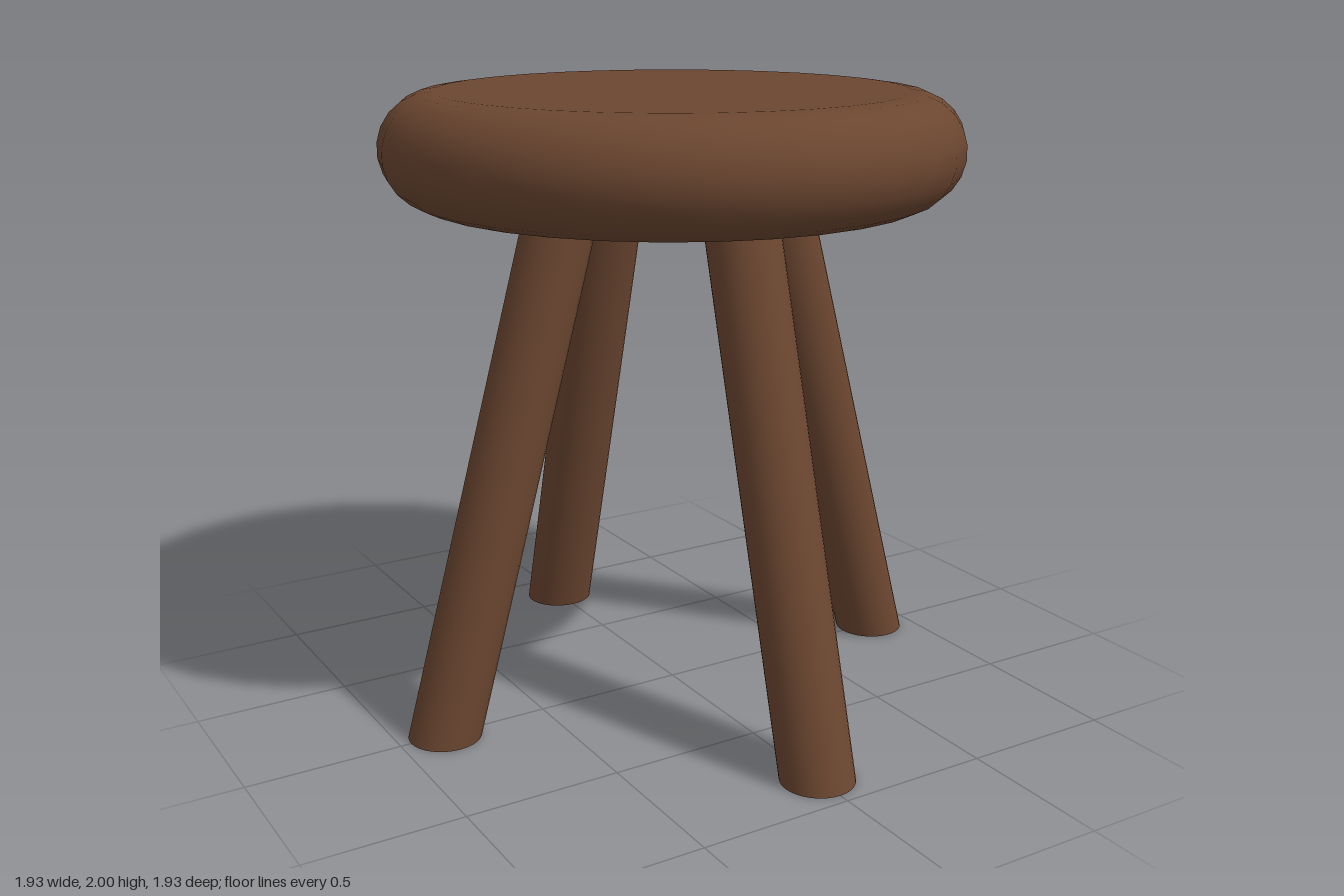
import * as THREE from 'three';

const wood = new THREE.MeshStandardMaterial({ color: 0x6b4630 });

// Round seat with a fully rounded rim
function createSeat() {
  const bottom = 1.65, top = 2, radius = 0.92;
  const rim = (top - bottom) / 2;
  const profile = [new THREE.Vector2(0, bottom)];
  const steps = 11;
  for (let i = 0; i <= steps; i++) {
    const a = -Math.PI / 2 + (Math.PI * i) / steps;
    profile.push(new THREE.Vector2(radius - rim + rim * Math.cos(a), bottom + rim + rim * Math.sin(a)));
  }
  profile.push(new THREE.Vector2(0, top));
  const seat = new THREE.Mesh(new THREE.LatheGeometry(profile, 32), wood);
  seat.name = 'seat';
  return seat;
}

// Splayed round leg: an upright cylinder sheared outward so its foot stays flat on the ground
function createLeg(name, angle) {
  const height = 1.72, footOffset = 0.848, slope = 0.275;
  const geometry = new THREE.CylinderGeometry(0.117, 0.117, height, 32);
  geometry.translate(0, height / 2, 0);
  const shear = new THREE.Matrix4().set(
    1, -slope, 0, footOffset,
    0, 1, 0, 0,
    0, 0, 1, 0,
    0, 0, 0, 1
  );
  geometry.applyMatrix4(shear);
  const leg = new THREE.Mesh(geometry, wood);
  leg.rotation.y = angle;
  leg.name = name;
  return leg;
}

export function createModel() {
  const stool = new THREE.Group();
  stool.name = 'stool';
  stool.add(createSeat());
  ['leftLeg', 'backLeg', 'rightLeg', 'frontLeg'].forEach((name, i) => {
    stool.add(createLeg(name, (i * Math.PI) / 2));
  });
  return stool;
}
